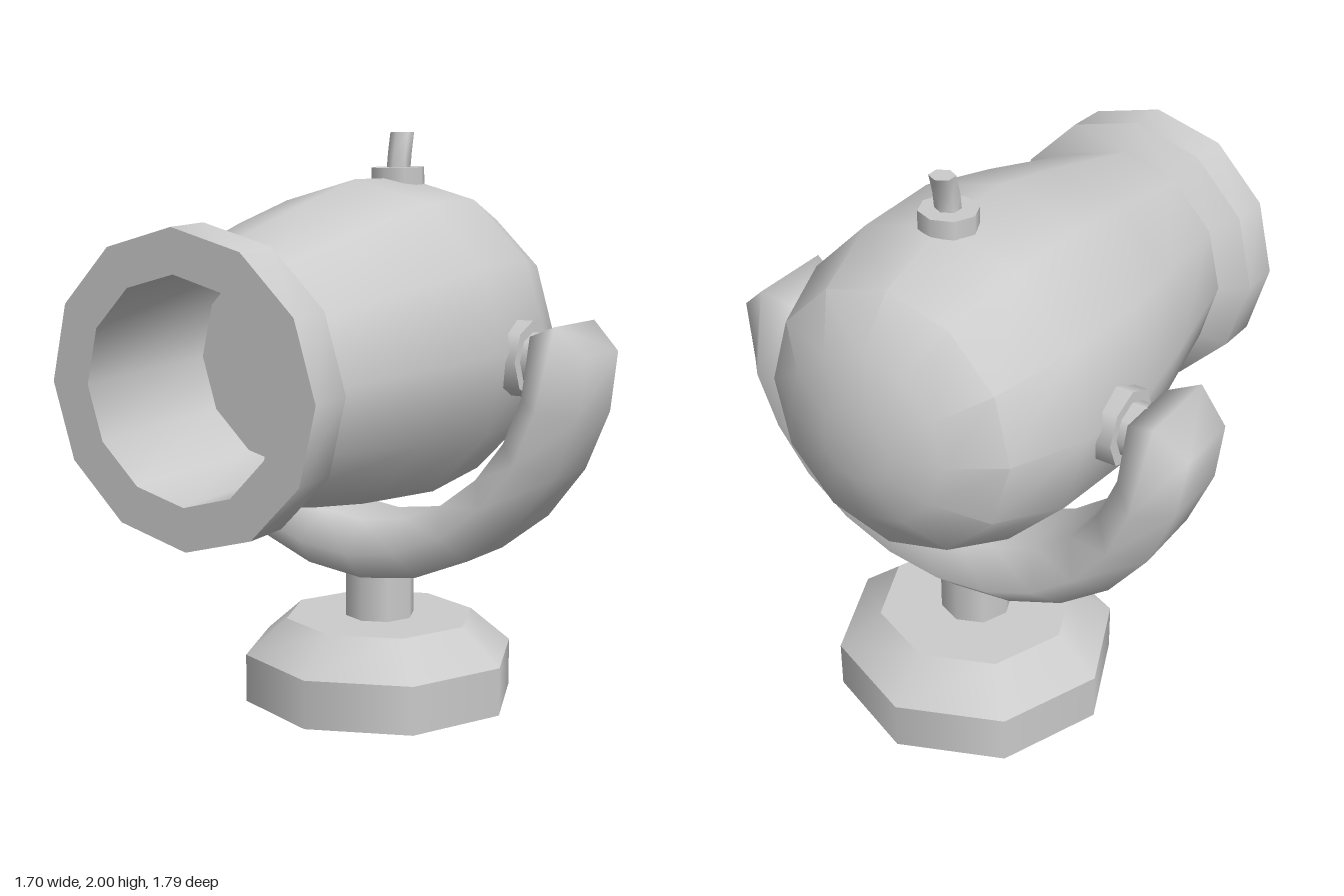
import * as THREE from 'three';
import { toCreasedNormals, mergeVertices } from 'three/addons/utils/BufferGeometryUtils.js';

const solid = new THREE.MeshStandardMaterial({ color: 0xcccccc });
const thin = new THREE.MeshStandardMaterial({ color: 0xcccccc, side: THREE.DoubleSide });

function add(parent, name, geometry, material = solid) {
  const mesh = new THREE.Mesh(geometry, material);
  mesh.name = name;
  parent.add(mesh);
  return mesh;
}

// Skin over equal rings of [x, y, z] points, with a fan closing each end
function loft(rings) {
  const n = rings[0].length, last = (rings.length - 1) * n;
  const points = rings.flat(), index = [];
  for (let i = 0; i < rings.length - 1; i++) {
    for (let j = 0; j < n; j++) {
      const a = i * n + j, b = i * n + (j + 1) % n;
      index.push(a, b, b + n, a, b + n, a + n);
    }
  }
  for (let j = 1; j < n - 1; j++) index.push(0, j + 1, j, last, last + j, last + j + 1);
  const geometry = new THREE.BufferGeometry();
  geometry.setAttribute('position', new THREE.Float32BufferAttribute(points.flat(), 3));
  geometry.setIndex(index);
  geometry.computeVertexNormals();
  return geometry;
}

// U-shaped arm: a six-sided section swept round a half circle, narrowed at the tips
function yokeGeometry() {
  const R = 0.743, h = 0.105, steps = 12, rings = [];
  for (let i = 0; i <= steps; i++) {
    const t = (i / steps - 0.5) * Math.PI;
    const tip = i === 0 || i === steps;
    const wide = tip ? 0.15 : 0.233, flat = tip ? 0.115 : 0.127;
    const lift = tip ? { mid: 0.08, out: -0.015, inn: 0.04 } : { mid: 0, out: 0, inn: 0 };
    const section = [
      [wide, 0, lift.mid], [flat, h, lift.out], [-flat, h, lift.out],
      [-wide, 0, lift.mid], [-flat, -h, lift.inn], [flat, -h, lift.inn],
    ];
    rings.push(section.map(([z, o, up]) =>
      [(R + o) * Math.sin(t), 1.3 - (R + o) * Math.cos(t) + up, z]));
  }
  return loft(rings);
}

// Lamp housing: [radius, distance along axis] from the rear round to the recess floor
function housingGeometry() {
  const profile = [
    [0, -0.893], [0.12, -0.89], [0.282, -0.845], [0.442, -0.727], [0.548, -0.463],
    [0.564, -0.134], [0.506, 0.185], [0.404, 0.645], [0.491, 0.715], [0.491, 0.872],
    [0.352, 0.872], [0.352, 0.29], [0, 0.29],
  ].map(([r, s]) => new THREE.Vector2(r, s));
  const geometry = new THREE.LatheGeometry(profile, 12);
  geometry.rotateX(Math.PI / 2);
  geometry.deleteAttribute('uv');
  geometry.deleteAttribute('normal');
  return toCreasedNormals(mergeVertices(geometry), 0.63);
}

export function createModel() {
  const model = new THREE.Group();
  model.name = 'spotlight';

  // Hollow foot and its post
  const stand = new THREE.Group();
  stand.name = 'stand';
  stand.position.z = -0.275;
  model.add(stand);
  const band = (name, rTop, rBottom, y0, y1) =>
    add(stand, name, new THREE.CylinderGeometry(rTop, rBottom, y1 - y0, 8, 1, true), thin)
      .position.y = (y0 + y1) / 2;
  band('baseWall', 0.487, 0.487, 0, 0.17);
  band('baseBevel', 0.34, 0.487, 0.17, 0.295);
  band('post', 0.124, 0.124, 0.295, 0.5);
  const top = new THREE.RingGeometry(0.124, 0.34, 8).rotateX(-Math.PI / 2);
  add(stand, 'baseTop', top, thin).position.y = 0.295;

  add(model, 'yoke', yokeGeometry()).position.z = -0.275;

  // Stepped pivot on each side
  for (const side of [-1, 1]) {
    const pivot = new THREE.Group();
    pivot.name = side > 0 ? 'leftPivot' : 'rightPivot';
    for (const [name, r, x0, x1] of [['pivotFlange', 0.128, 0.5, 0.59], ['pivotBolt', 0.09, 0.57, 0.67]]) {
      const geometry = new THREE.CylinderGeometry(r, r, x1 - x0, 8).rotateZ(Math.PI / 2);
      add(pivot, name, geometry).position.x = side * (x0 + x1) / 2;
    }
    pivot.position.set(0, 1.252, -0.278);
    model.add(pivot);
  }

  // Housing, tipped slightly nose down
  const housing = add(model, 'housing', housingGeometry());
  housing.position.y = 1.272;
  housing.rotation.x = 0.05;

  // Cable collar and bent cable stub
  const collar = add(model, 'cableCollar', new THREE.CylinderGeometry(0.095, 0.095, 0.06, 8));
  collar.position.set(0, 1.85, -0.385);
  collar.rotation.x = 0.03;
  const cable = [[0.003, 1.85, -0.38], [0.007, 1.93, -0.385], [0, 2, -0.412]].map(([x, y, z]) =>
    Array.from({ length: 6 }, (_, k) => {
      const a = (k / 6) * Math.PI * 2;
      return [x + 0.042 * Math.sin(a), y, z + 0.04 * Math.cos(a)];
    }));
  add(model, 'cable', toCreasedNormals(loft(cable), 1.15));

  return model;
}
